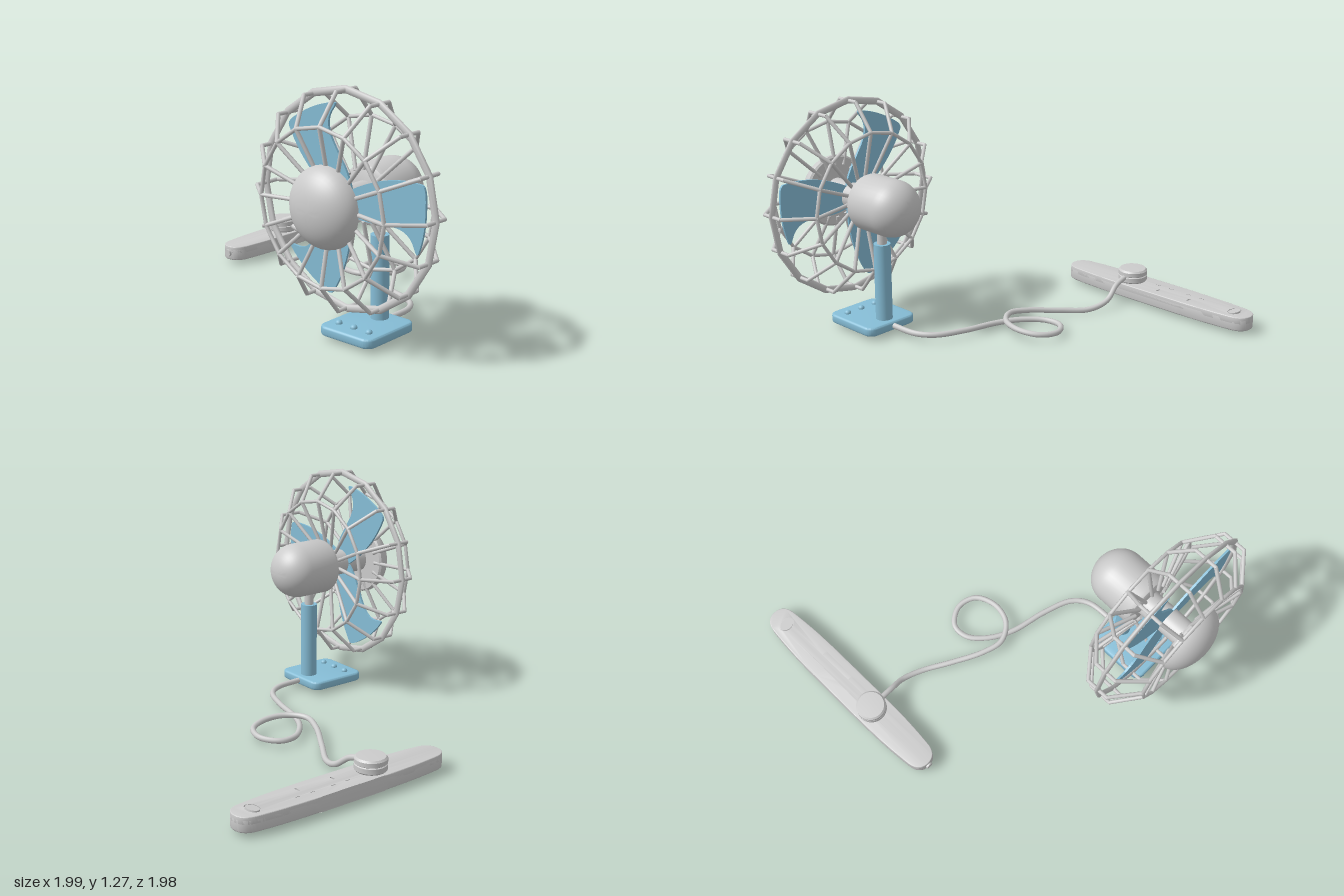
import * as THREE from 'three';
import { toCreasedNormals } from 'three/addons/utils/BufferGeometryUtils.js';

const grey = new THREE.MeshStandardMaterial({ color: 0xcccccc, side: THREE.DoubleSide });
const blue = new THREE.MeshStandardMaterial({ color: 0x86bdd6, side: THREE.DoubleSide });
const V3 = (x, y, z) => new THREE.Vector3(x, y, z);
const V2 = (x, y) => new THREE.Vector2(x, y);

function add(parent, name, geometry, material, x = 0, y = 0, z = 0) {
  const mesh = new THREE.Mesh(geometry, material);
  mesh.name = name;
  mesh.position.set(x, y, z);
  parent.add(mesh);
  return mesh;
}

// Round bar between two points
function rod(parent, name, a, b, r) {
  const d = b.clone().sub(a);
  const mesh = add(parent, name, new THREE.CylinderGeometry(r, r, d.length() + r * 0.6, 8), grey);
  mesh.position.copy(a).add(b).multiplyScalar(0.5);
  mesh.quaternion.setFromUnitVectors(V3(0, 1, 0), d.normalize());
}

// Solid of revolution about the x axis, profile given as [x, radius]
function latheX(parent, name, profile, material) {
  const geo = new THREE.LatheGeometry(profile.map(([x, r]) => V2(r, x)), 40);
  geo.rotateZ(-Math.PI / 2);
  return add(parent, name, toCreasedNormals(geo, 0.6), material);
}

// Outline in x and -z, raised from y0 to y1 with bevelled rims
function slab(parent, name, shape, y0, y1, bevel, material, x = 0, z = 0) {
  const geo = new THREE.ExtrudeGeometry(shape, {
    depth: y1 - y0 - 2 * bevel, bevelSize: bevel, bevelThickness: bevel,
    bevelOffset: -bevel, bevelSegments: 3, curveSegments: 10,
  });
  geo.rotateX(-Math.PI / 2);
  return add(parent, name, toCreasedNormals(geo, 0.6), material, x, y0 + bevel, z);
}

function roundedRect(w, d, r) {
  const s = new THREE.Shape();
  [[1, 1], [-1, 1], [-1, -1], [1, -1]].forEach(([i, j], k) =>
    s.absarc(i * (w / 2 - r), j * (d / 2 - r), r, k * Math.PI / 2, (k + 1) * Math.PI / 2));
  return s;
}

// Wire guard: sixteen bent ribs and three hoops around the x axis
function buildCage(head) {
  const cage = new THREE.Group();
  cage.name = 'cage';
  head.add(cage);
  const profile = [[-0.13, 0.15], [-0.18, 0.383], [-0.065, 0.528],
    [0.065, 0.528], [0.18, 0.383], [0.12, 0.13]];
  const n = 16;
  for (let i = 0; i < n; i++) {
    const a = i / n * Math.PI * 2;
    const p = profile.map(([x, r]) => V3(x, r * Math.sin(a), r * Math.cos(a)));
    for (let k = 0; k < p.length - 1; k++) rod(cage, 'rib', p[k], p[k + 1], 0.0105);
  }
  for (const [x, r, tube] of [[-0.18, 0.383, 0.01], [0, 0.531, 0.02], [0.18, 0.383, 0.01]]) {
    const geo = new THREE.TorusGeometry(r, tube, 8, n);
    geo.rotateY(Math.PI / 2);
    add(cage, 'hoop', geo, grey, x).scale.x = x === 0 ? 0.6 : 1;
  }
}

function buildHead(fan) {
  const head = new THREE.Group();
  head.name = 'fanHead';
  head.position.set(-0.73, 0.718, 0.437);
  fan.add(head);
  buildCage(head);

  // Domed cap, shaft and motor on one axis
  const cap = [], motor = [[0.13, 0], [0.13, 0.13], [0.14, 0.147], [0.16, 0.155], [0.335, 0.155]];
  for (let i = 0; i <= 12; i++) {
    const t = i / 12 * Math.PI / 2;
    cap.push([-0.14 - 0.13 * Math.cos(t), 0.2 * Math.sin(t)]);
    if (i) motor.push([0.335 + 0.143 * Math.sin(t), 0.155 * Math.cos(t)]);
  }
  cap.push([-0.13, 0.19], [-0.13, 0]);
  latheX(head, 'cap', cap, grey);
  latheX(head, 'shaft', [[-0.14, 0], [-0.14, 0.073], [0.15, 0.073], [0.15, 0]], grey);
  latheX(head, 'motor', motor, grey);

  // Three flat sickle blades
  const s = new THREE.Shape();
  s.moveTo(0.03, 0.06);
  s.quadraticCurveTo(0.25, 0.175, 0.45, 0.158);
  s.bezierCurveTo(0.485, 0.155, 0.475, 0.06, 0.475, 0.02);
  s.quadraticCurveTo(0.47, -0.08, 0.436, -0.165);
  s.quadraticCurveTo(0.428, -0.185, 0.415, -0.155);
  s.bezierCurveTo(0.38, -0.05, 0.29, -0.07, 0.2, -0.072);
  s.quadraticCurveTo(0.1, -0.085, 0.03, -0.06);
  const geo = new THREE.ExtrudeGeometry(s, { depth: 0.012, bevelEnabled: false, curveSegments: 10 });
  geo.translate(0, 0, -0.006);
  geo.rotateY(-Math.PI / 2);
  for (let i = 0; i < 3; i++) add(head, 'blade', geo, blue).rotation.x = i * Math.PI * 2 / 3;
}

function buildStand(fan) {
  const z = 0.437;
  slab(fan, 'base', roundedRect(0.355, 0.335, 0.05), 0.02, 0.07, 0.012, blue, -0.588, z);
  add(fan, 'pole', new THREE.CylinderGeometry(0.046, 0.046, 0.44, 28), blue, -0.49, 0.28, z);
  add(fan, 'neck', new THREE.CylinderGeometry(0.026, 0.026, 0.12, 20), grey, -0.49, 0.54, z);
  for (const dz of [-0.097, 0, 0.097]) {
    const button = add(fan, 'button', new THREE.SphereGeometry(0.018, 16, 10), blue, -0.683, 0.073, z + dz);
    button.scale.y = 0.9;
  }
}

function buildCord(model) {
  const points = [
    [-0.43, 0.045, 0.437], [-0.25, 0.042, 0.422], [-0.165, 0.04, 0.36], [-0.1, 0.037, 0.2],
    [-0.05, 0.035, 0], [0.02, 0.035, -0.13], [0.12, 0.032, -0.215], [0.215, 0.032, -0.215],
    [0.278, 0.036, -0.12], [0.245, 0.045, -0.015], [0.13, 0.055, 0.03], [0.015, 0.062, 0],
    [-0.05, 0.064, -0.1], [-0.02, 0.052, -0.22], [0.07, 0.028, -0.38], [0.16, 0.015, -0.53],
    [0.195, 0.045, -0.645], [0.185, 0.11, -0.74], [0.18, 0.138, -0.84],
  ].map((p) => V3(...p));
  add(model, 'cord', new THREE.TubeGeometry(new THREE.CatmullRomCurve3(points), 180, 0.0155, 10), grey);
}

function buildPowerStrip(model) {
  const strip = new THREE.Group();
  strip.name = 'powerStrip';
  strip.position.set(0.365, 0, -0.895);
  model.add(strip);

  // Long body with gently tapering ends
  const outline = () => {
    const s = new THREE.Shape();
    s.moveTo(-0.2, 0.095);
    s.lineTo(0.2, 0.095);
    for (const k of [1, -1]) {
      s.quadraticCurveTo(k * 0.4, k * 0.094, k * 0.555, k * 0.076);
      s.bezierCurveTo(k * 0.61, k * 0.068, k * 0.628, k * 0.035, k * 0.628, 0);
      s.bezierCurveTo(k * 0.628, -k * 0.035, k * 0.61, -k * 0.068, k * 0.555, -k * 0.076);
      s.quadraticCurveTo(k * 0.4, -k * 0.094, k * 0.2, -k * 0.095);
      s.lineTo(-k * 0.2, -k * 0.095);
    }
    return s;
  };
  slab(strip, 'stripBody', outline(), 0.02, 0.09, 0.008, grey);

  // Top plate with socket slots and a switch well
  const top = outline();
  const slot = (x, y, w, d) => top.holes.push(new THREE.Path([
    V2(x - w / 2, y - d / 2), V2(x - w / 2, y + d / 2), V2(x + w / 2, y + d / 2), V2(x + w / 2, y - d / 2)]));
  for (const x of [0.03, 0.24]) {
    slot(x - 0.045, 0.029, 0.036, 0.012);
    slot(x + 0.045, 0.029, 0.036, 0.012);
    slot(x, -0.035, 0.016, 0.036);
  }
  top.holes.push(new THREE.Path().absellipse(0.523, 0, 0.038, 0.052, 0, Math.PI * 2, true));
  slab(strip, 'stripTop', top, 0.06, 0.1, 0.004, grey);

  // Rocker switch and end screw
  const rocker = add(strip, 'rockerSwitch', new THREE.CylinderGeometry(0.03, 0.03, 0.02, 24), grey, 0.523, 0.093, 0);
  rocker.scale.z = 1.35;
  rocker.rotation.z = 0.12;
  const screw = add(strip, 'endScrew', new THREE.CylinderGeometry(0.02, 0.02, 0.02, 16), grey, -0.628, 0.06, 0);
  screw.rotation.z = Math.PI / 2;

  // Round plug with a seam
  const profile = [[0, 0.1], [0.075, 0.1], [0.083, 0.108], [0.083, 0.134], [0.078, 0.138],
    [0.083, 0.142], [0.083, 0.164], [0.074, 0.174], [0, 0.177]].map((p) => V2(...p));
  add(strip, 'plug', toCreasedNormals(new THREE.LatheGeometry(profile, 28), 0.5), grey, -0.183, 0, 0);
}

export function createModel() {
  const model = new THREE.Group();
  model.name = 'deskFanWithPowerStrip';
  const fan = new THREE.Group();
  fan.name = 'fan';
  model.add(fan);
  buildHead(fan);
  buildStand(fan);
  buildCord(model);
  buildPowerStrip(model);
  return model;
}
